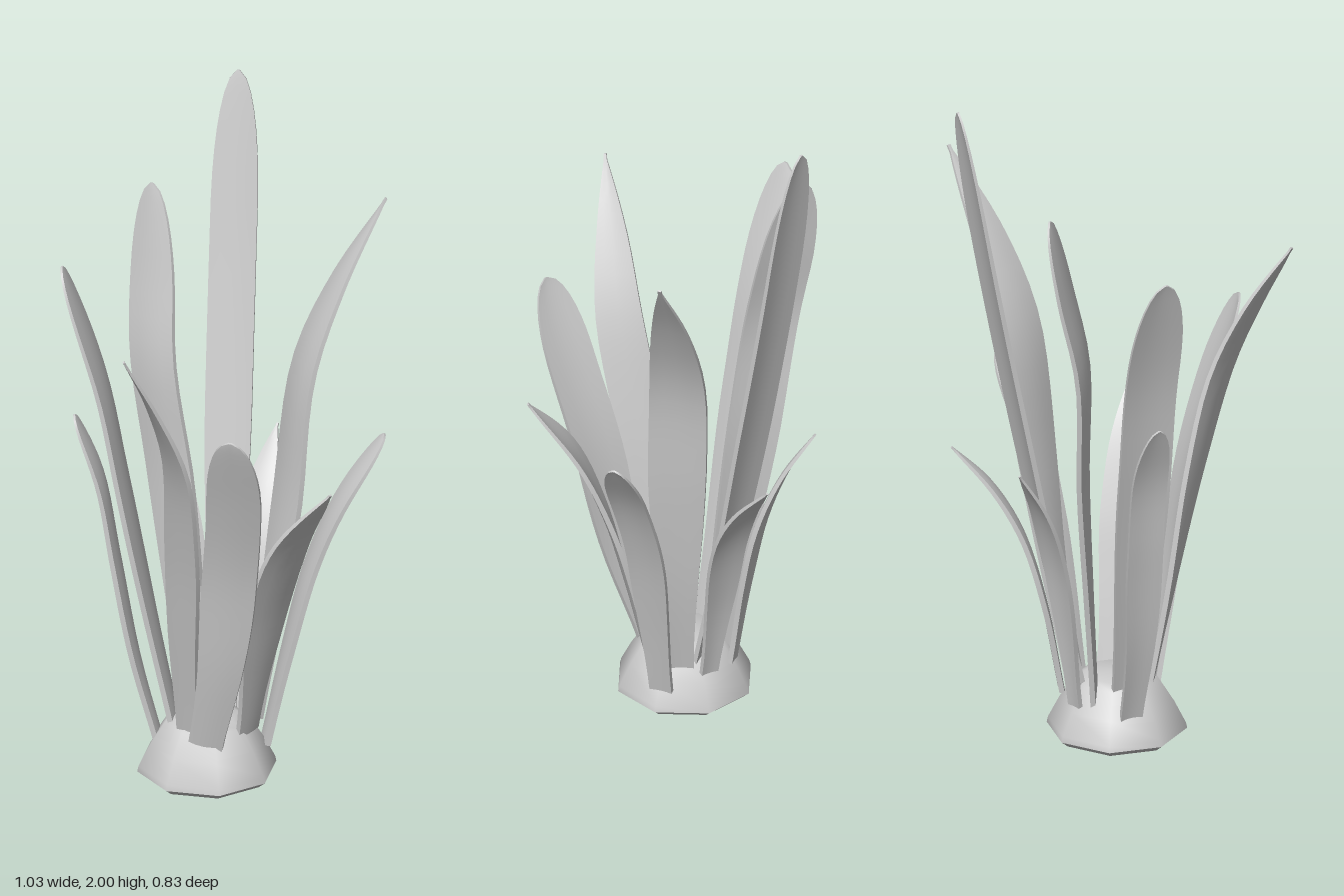
import * as THREE from 'three';
import { toCreasedNormals } from 'three/addons/utils/BufferGeometryUtils.js';

const material = new THREE.MeshStandardMaterial({ color: 0xcccccc });
const ROWS = 22;
const THICKNESS = 0.015;

// Half-width factor along a blade: narrow foot, broad middle, round or pointed tip
function outline(t, pointed) {
  const foot = THREE.MathUtils.lerp(pointed ? 0.5 : 0.62, 1, THREE.MathUtils.smoothstep(t, 0, 0.5));
  const start = pointed ? 0.58 : 0.78;
  const k = Math.max(0, (t - start) / (1 - start));
  return foot * Math.max(0.06, pointed ? 1 - k ** 2.1 : Math.sqrt(1 - k ** 2.2));
}

// Thin, slightly channelled blade swept along a spine of [x, y, z] points.
// foot and tip optionally set the heading of its width, in radians from +x to +z.
function bladeGeometry({ spine, width, pointed, foot, tip }) {
  const points = spine.map((p) => new THREE.Vector3(...p));
  const curve = new THREE.CatmullRomCurve3(points, false, 'centripetal');
  const reach = points.at(-1).clone().sub(points[0]);
  const heading = Math.atan2(reach.x, -reach.z);
  const a0 = foot ?? heading, a1 = tip ?? a0;
  // Cross-section loop: across the inner face, back along the outer face
  const section = [[1, -0.5], [1, 0.5], [0.5, 0.5], [0, 0.5], [-0.5, 0.5],
    [-1, 0.5], [-1, -0.5], [-0.5, -0.5], [0, -0.5], [0.5, -0.5]];
  const n = section.length, position = [], index = [];
  for (let i = 0; i <= ROWS; i++) {
    const t = 1 - (1 - i / ROWS) ** 1.4;
    const p = curve.getPointAt(t), tangent = curve.getTangentAt(t);
    const a = THREE.MathUtils.lerp(a0, a1, t);
    const side = new THREE.Vector3(Math.cos(a), 0, Math.sin(a));
    side.addScaledVector(tangent, -side.dot(tangent)).normalize();
    const normal = tangent.clone().cross(side);
    const half = width / 2 * outline(t, pointed);
    const thickness = THICKNESS * (1 - 0.6 * t ** 4);
    for (const [u, v] of section) {
      const channel = half * 0.1 * (u * u - 0.5);
      const q = p.clone().addScaledVector(side, u * half)
        .addScaledVector(normal, v * thickness + channel);
      position.push(q.x, q.y, q.z);
    }
  }
  for (let i = 0; i < ROWS; i++) {
    for (let j = 0; j < n; j++) {
      const a = i * n + j, b = i * n + (j + 1) % n;
      index.push(a, b, b + n, a, b + n, a + n);
    }
  }
  // End caps
  const last = ROWS * n;
  for (let j = 1; j < n - 1; j++) {
    index.push(0, j + 1, j, last, last + j, last + j + 1);
  }
  const geometry = new THREE.BufferGeometry();
  geometry.setAttribute('position', new THREE.Float32BufferAttribute(position, 3));
  geometry.setIndex(index);
  return toCreasedNormals(geometry, 0.8);
}

const leaves = {
  tallBackLeftLeaf: { width: 0.135,
    spine: [[0.03, 0.13, -0.09], [0.08, 0.45, -0.145], [0.16, 1, -0.23], [0.23, 1.5, -0.3], [0.295, 2, -0.36]] },
  tallBackRightLeaf: { width: 0.155,
    spine: [[-0.12, 0.13, -0.105], [-0.165, 0.45, -0.155], [-0.225, 0.9, -0.22], [-0.265, 1.2, -0.265], [-0.35, 1.57, -0.345]] },
  tallBackLeaf: { width: 0.16, foot: 1.2, tip: 1.4,
    spine: [[-0.03, 0.13, -0.13], [-0.035, 0.45, -0.175], [-0.045, 0.85, -0.235], [-0.068, 1.22, -0.29], [-0.035, 1.47, -0.335], [0, 1.72, -0.38]] },
  tallLeftLeaf: { width: 0.17, pointed: true, foot: 1.6, tip: 2.05,
    spine: [[0.085, 0.15, -0.02], [0.145, 0.45, -0.015], [0.2, 0.8, -0.01], [0.26, 1.2, -0.01], [0.365, 1.45, 0.015], [0.51, 1.69, 0.055]] },
  tallRightLeaf: { width: 0.14, pointed: true, foot: 1.2, tip: 1.95,
    spine: [[-0.15, 0.15, -0.01], [-0.2, 0.45, 0.03], [-0.25, 0.8, 0.085], [-0.31, 1.1, 0.135], [-0.4, 1.31, 0.15], [-0.515, 1.51, 0.165]] },
  frontRightLeaf: { width: 0.16, foot: 0.92,
    spine: [[-0.135, 0.12, 0.045], [-0.145, 0.4, 0.13], [-0.165, 0.75, 0.205], [-0.205, 1, 0.275], [-0.27, 1.25, 0.345]] },
  frontLeaf: { width: 0.165, pointed: true, foot: -0.2, tip: 0,
    spine: [[0.005, 0.15, 0.065], [0, 0.4, 0.125], [0, 0.6, 0.18], [0.01, 0.82, 0.27], [0.04, 1.02, 0.41]] },
  frontLeftLeaf: { width: 0.11,
    spine: [[0.095, 0.08, 0.03], [0.15, 0.35, 0.055], [0.215, 0.62, 0.085], [0.285, 0.82, 0.13], [0.41, 1.02, 0.18]] },
  shortBackLeftLeaf: { width: 0.11, pointed: true,
    spine: [[0.085, 0.13, -0.105], [0.125, 0.4, -0.135], [0.185, 0.62, -0.16], [0.26, 0.77, -0.2], [0.36, 0.9, -0.26]] },
  shortBackLeaf: { width: 0.09, pointed: true, foot: 0.4,
    spine: [[0.01, 0.12, -0.175], [0.025, 0.4, -0.215], [0.04, 0.6, -0.255], [0.055, 0.77, -0.32], [0.08, 0.92, -0.41]] },
  shortBackRightLeaf: { width: 0.105,
    spine: [[-0.15, 0.09, -0.15], [-0.2, 0.35, -0.195], [-0.235, 0.65, -0.24], [-0.265, 0.9, -0.275], [-0.32, 1.1, -0.325]] },
};

export function createModel() {
  const group = new THREE.Group();

  // Eight-sided root crown with a chamfered foot
  const profile = [[0, 0], [0.18, 0], [0.202, 0.018], [0.198, 0.035],
    [0.165, 0.1], [0.12, 0.17], [0.09, 0.185], [0, 0.19]];
  const crown = new THREE.Mesh(toCreasedNormals(new THREE.LatheGeometry(
    profile.map(([x, y]) => new THREE.Vector2(x, y)), 8, Math.PI / 8), 0.9), material);
  crown.name = 'rootCrown';
  crown.position.set(-0.06, 0, -0.042);
  crown.rotation.y = -0.08;
  group.add(crown);

  for (const [name, spec] of Object.entries(leaves)) {
    const leaf = new THREE.Mesh(bladeGeometry(spec), material);
    leaf.name = name;
    group.add(leaf);
  }
  return group;
}
